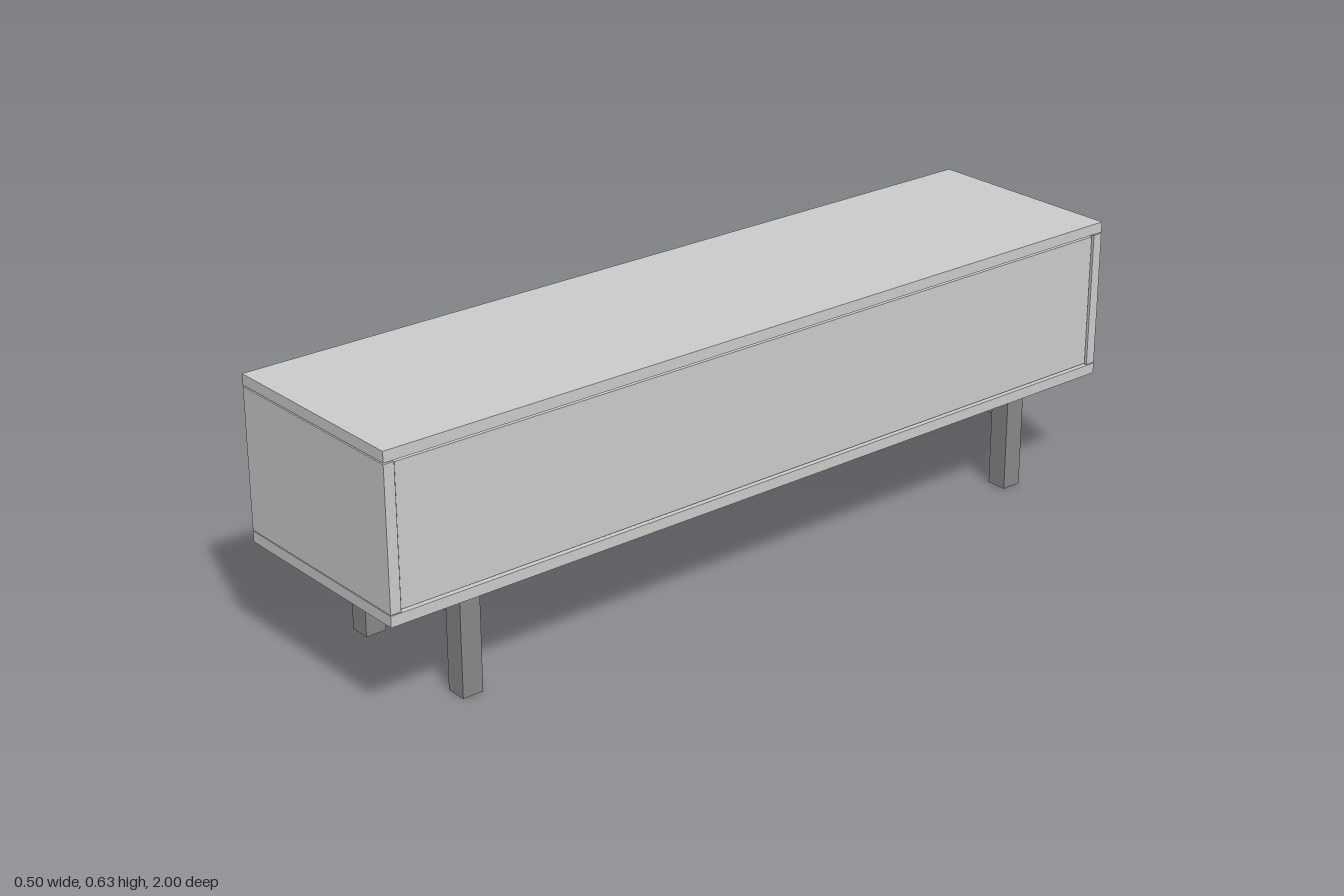
import * as THREE from 'three';

export function createModel() {
  const model = new THREE.Group();
  const bodyMat = new THREE.MeshStandardMaterial({ color: 0xcccccc });
  const legMat = new THREE.MeshStandardMaterial({ color: 0x888888 });

  // Box given by its min and max along each axis
  function box(name, [x0, x1], [y0, y1], [z0, z1], mat = bodyMat) {
    const mesh = new THREE.Mesh(new THREE.BoxGeometry(x1 - x0, y1 - y0, z1 - z0), mat);
    mesh.position.set((x0 + x1) / 2, (y0 + y1) / 2, (z0 + z1) / 2);
    mesh.name = name;
    model.add(mesh);
  }

  const W = 0.25, T = 0.025, GAP = 0.003, INSET = 0.004;
  const wallY = [0.277, 0.599];
  const fillY = [wallY[0] + GAP, wallY[1] - GAP];

  // Top and bottom boards
  box('topBoard', [-W, W], [0.602, 0.627], [-1, 1]);
  box('bottomBoard', [-W, W], [0.25, 0.275], [-1, 1]);

  // End panels
  box('frontEndPanel', [-W, W], wallY, [1 - T, 1]);
  box('rearEndPanel', [-W, W], wallY, [-1, -1 + T]);

  // Long closed panel on the +x side
  box('longSidePanel', [W - INSET - T, W - INSET], fillY, [-1 + T + GAP, 1 - T - GAP]);

  // Dividers and three inset doors on the -x side
  const bay = (2 - 4 * T) / 3;
  for (let i = 0; i < 3; i++) {
    const z = -1 + T + i * (bay + T);
    box('door', [-W + INSET, -W + INSET + T], fillY, [z + GAP, z + bay - GAP]);
    if (i < 2) box('divider', [-W, W - INSET - T], wallY, [z + bay, z + bay + T]);
  }

  // Legs, with a cross rail between each pair
  const legZ = [0.777, -0.791], railY = [0.17, 0.25], half = 0.0125;
  for (const z of legZ) {
    for (const x of [-0.175, 0.175]) {
      box('leg', [x - T, x + T], [0, 0.25], [z - T, z + T], legMat);
    }
    box('crossRail', [-0.15, 0.15], railY, [z - half, z + half], legMat);
  }

  // Centre rail joining the cross rails
  box('centreRail', [-half, half], railY, [legZ[1] + half, legZ[0] - half], legMat);

  return model;
}
